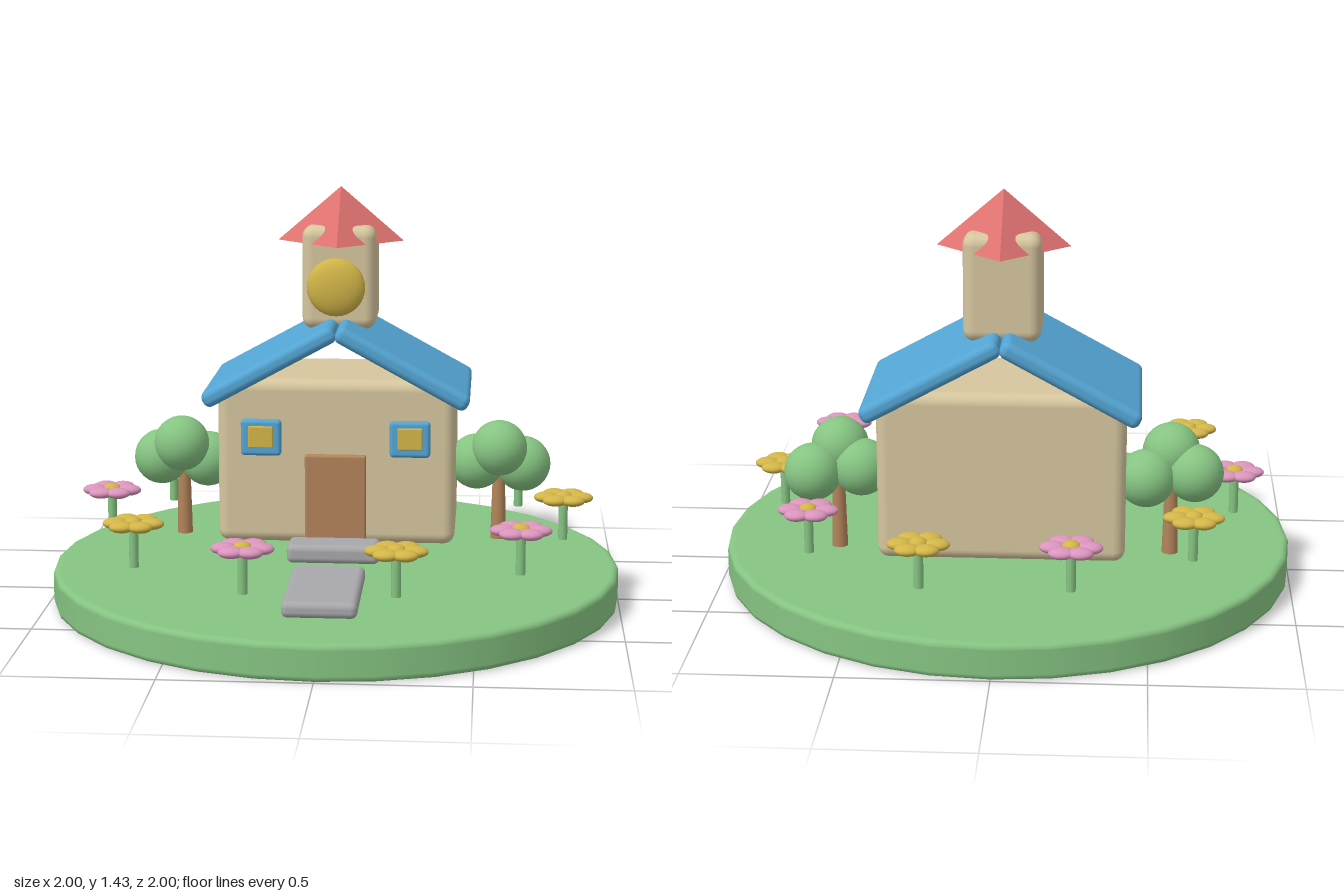
import * as THREE from 'three';
import { RoundedBoxGeometry } from 'three/addons/geometries/RoundedBoxGeometry.js';

const paint = (name, color, extra = {}) => {
  const m = new THREE.MeshStandardMaterial({ color, ...extra });
  m.name = name;
  return m;
};

export function createModel() {
  const green = paint('leaf green', 0x86c482);
  const cream = paint('cream wall', 0xd6c69e);
  const blue = paint('roof blue', 0x54a5d4);
  const red = paint('spire red', 0xdf7270, { flatShading: true });
  const gold = paint('gold', 0xd2b548);
  const brown = paint('wood brown', 0xb3845a);
  const grey = paint('stone grey', 0xa8a8ac);
  const pink = paint('petal pink', 0xda94bc);

  const model = new THREE.Group();
  model.name = 'schoolhouseOnIsland';

  const add = (parent, name, geometry, material, x, y, z) => {
    const mesh = new THREE.Mesh(geometry, material);
    mesh.name = name;
    mesh.position.set(x, y, z);
    parent.add(mesh);
    return mesh;
  };
  const box = (name, material, w, h, d, r, x, y, z, parent = model) =>
    add(parent, name, new RoundedBoxGeometry(w, h, d, 4, r), material, x, y, z);
  const ball = new THREE.SphereGeometry(1, 24, 16);
  const ellipsoid = (parent, name, material, rx, ry, rz, x, y, z) => {
    const mesh = add(parent, name, ball, material, x, y, z);
    mesh.scale.set(rx, ry, rz);
    return mesh;
  };

  // Round lawn with softened rims
  const rim = [[0, 0], [0.975, 0], [0.985, 0], [0.996, 0.005], [1, 0.015], [1, 0.02],
    [1, 0.105], [1, 0.11], [0.996, 0.12], [0.985, 0.125], [0.975, 0.125], [0, 0.125]];
  add(model, 'lawn', new THREE.LatheGeometry(rim.map(p => new THREE.Vector2(...p)), 32), green, 0, 0, 0);

  // House body and the two roof slopes
  box('houseBody', cream, 0.84, 0.59, 0.47, 0.04, 0, 0.483, -0.218);
  for (const s of [1, -1]) {
    const slope = box(s > 0 ? 'roofLeft' : 'roofRight', blue, 0.525, 0.06, 0.59, 0.025, s * 0.234, 0.83, -0.214);
    slope.rotation.z = -s * 0.5;
  }

  // Tower with a four-sided spire and a round gold disc
  box('tower', cream, 0.262, 0.368, 0.262, 0.04, 0, 1.119, -0.248);
  add(model, 'spire', new THREE.ConeGeometry(0.225, 0.193, 4), red, 0, 1.337, -0.246);
  ellipsoid(model, 'towerDisc', gold, 0.102, 0.102, 0.04, 0, 1.108, 0.014);

  // Door and windows
  box('door', brown, 0.216, 0.322, 0.03, 0.008, 0, 0.355, 0.035);
  for (const s of [1, -1]) {
    const win = new THREE.Group();
    win.name = s > 0 ? 'windowLeft' : 'windowRight';
    win.position.set(s * 0.262, 0.577, 0);
    box('windowFrame', blue, 0.143, 0.13, 0.032, 0.014, 0, 0, 0.039, win);
    box('windowPane', gold, 0.087, 0.077, 0.024, 0.004, 0, 0.004, 0.053, win);
    model.add(win);
  }

  // Doorstep and garden path
  box('doorstep', grey, 0.325, 0.066, 0.136, 0.022, 0, 0.188, 0.106);
  box('gardenPath', grey, 0.248, 0.055, 0.464, 0.022, 0, 0.17, 0.556);

  // Trees: a trunk and three balls of leaves
  const trunk = new THREE.CylinderGeometry(0.021, 0.028, 0.29, 16);
  for (const s of [1, -1]) {
    const tree = new THREE.Group();
    tree.name = s > 0 ? 'treeLeft' : 'treeRight';
    tree.position.set(s * 0.575, 0, 0);
    add(tree, 'trunk', trunk, brown, 0, 0.3, -0.24);
    for (const [x, y, z] of [[0, 0.503, -0.18], [-0.08, 0.442, -0.23], [0.086, 0.43, -0.257]])
      ellipsoid(tree, 'leaves', green, 0.1, 0.1, 0.1, x, y, z);
    model.add(tree);
  }

  // Ring of ten flowers in alternating colours
  const stem = new THREE.CylinderGeometry(0.016, 0.016, 0.145, 12);
  for (let i = 0; i < 10; i++) {
    const a = i * Math.PI / 5;
    const flower = new THREE.Group();
    flower.name = 'flower';
    flower.position.set(0.802 * Math.cos(a), 0, 0.802 * Math.sin(a));
    add(flower, 'stem', stem, green, 0, 0.29, 0);
    for (let k = 0; k < 6; k++) {
      const b = k * Math.PI / 3;
      ellipsoid(flower, 'petal', i % 2 ? pink : gold, 0.043, 0.019, 0.034,
        0.061 * Math.cos(b), 0.368, 0.061 * Math.sin(b));
    }
    ellipsoid(flower, 'flowerCentre', gold, 0.032, 0.022, 0.032, 0, 0.37, 0);
    model.add(flower);
  }

  return model;
}
